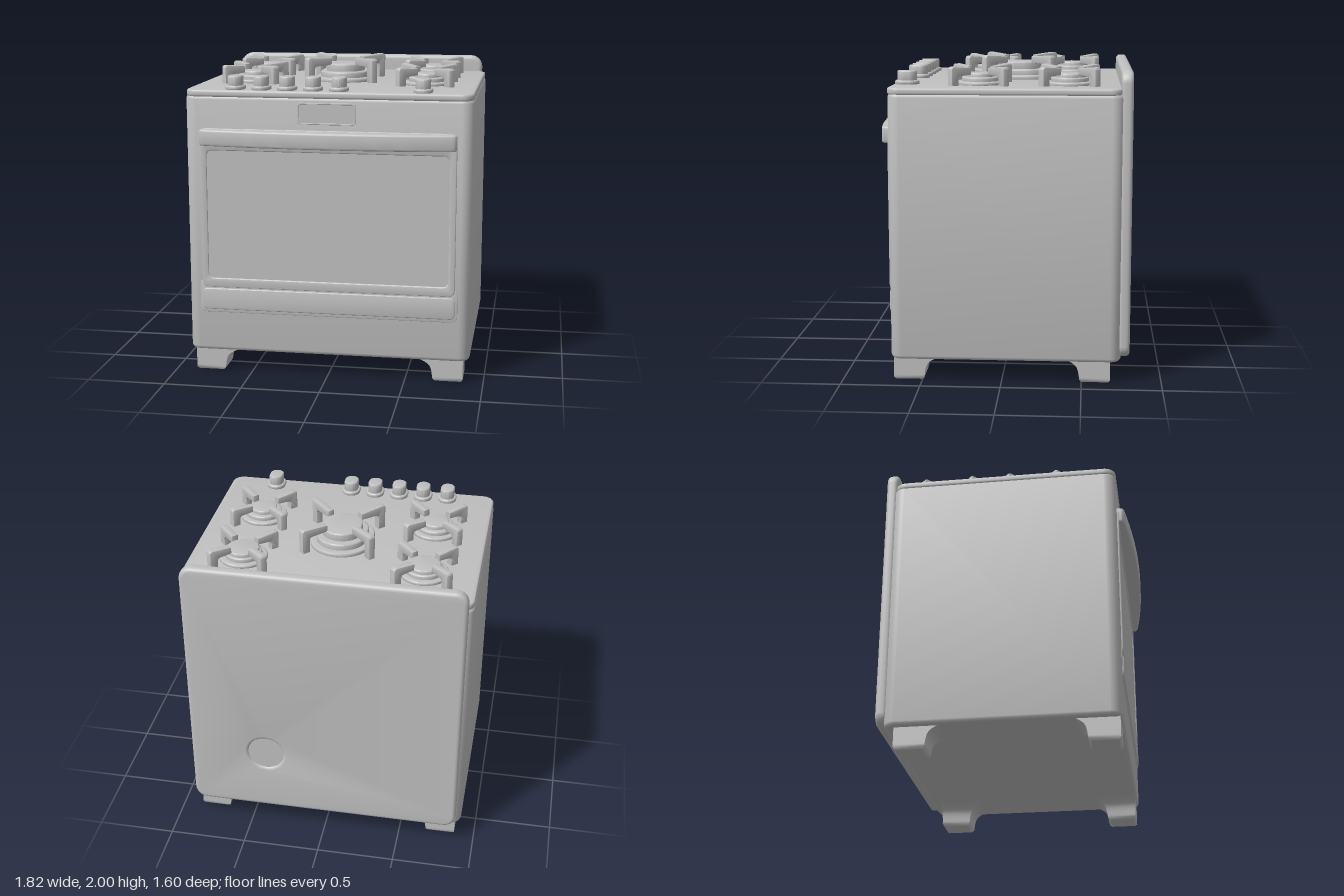
import * as THREE from 'three';
import { toCreasedNormals } from 'three/addons/utils/BufferGeometryUtils.js';

const enamel = new THREE.MeshStandardMaterial({ color: 0xc0c0c0 });
enamel.name = 'grey enamel';

// Rounded rectangle between two corners
function roundRect(x0, y0, x1, y1, r, Type = THREE.Shape) {
  const s = new Type();
  s.moveTo(x0 + r, y0);
  s.lineTo(x1 - r, y0);
  s.absarc(x1 - r, y0 + r, r, -Math.PI / 2, 0);
  s.lineTo(x1, y1 - r);
  s.absarc(x1 - r, y1 - r, r, 0, Math.PI / 2);
  s.lineTo(x0 + r, y1);
  s.absarc(x0 + r, y1 - r, r, Math.PI / 2, Math.PI);
  s.lineTo(x0, y0 + r);
  s.absarc(x0 + r, y0 + r, r, Math.PI, Math.PI * 1.5);
  return s;
}

// Outline extruded along z from z0 to z1 with rounded edges
function slab(shape, z0, z1, bevel, segments = 3) {
  const g = new THREE.ExtrudeGeometry(shape, {
    depth: z1 - z0 - 2 * bevel, bevelEnabled: bevel > 0, bevelThickness: bevel,
    bevelSize: bevel, bevelOffset: -bevel, bevelSegments: segments, curveSegments: 10,
  });
  g.translate(0, 0, z0 + bevel);
  return toCreasedNormals(g, 0.7);
}

// Plan outline (x, -z) extruded upward from y0 to y1
const tower = (shape, y0, y1, bevel, segments) =>
  slab(shape, y0, y1, bevel, segments).rotateX(-Math.PI / 2);

// Oval or round disc centred on the origin
const disc = (hx, hz, y0, y1, bevel) =>
  tower(roundRect(-hx, -hz, hx, hz, Math.min(hx, hz) * 0.999), y0, y1, bevel);

function add(parent, name, geometry, x = 0, y = 0, z = 0) {
  const m = new THREE.Mesh(geometry, enamel);
  m.name = name;
  m.position.set(x, y, z);
  parent.add(m);
  return m;
}

// Foot that flares inward where it meets the body
function footGeometry() {
  const g = new THREE.BoxGeometry(1, 1, 1, 1, 10, 1);
  const p = g.attributes.position;
  for (let i = 0; i < p.count; i++) {
    const t = p.getY(i) + 0.5;
    const flare = 0.02 * t + 0.09 * Math.pow(t, 6);
    const tuck = t < 0.05 ? 0.012 : 0;
    p.setXYZ(i,
      p.getX(i) > 0 ? 0.87 - tuck : 0.68 - flare + tuck,
      t * 0.15,
      p.getZ(i) > 0 ? 0.68 - tuck : 0.49 - flare + tuck);
  }
  return toCreasedNormals(g, 0.7);
}

// One bracket of a pan support: outer leg and a bar reaching inward
function armGeometry(inner, outer, top) {
  const s = new THREE.Shape();
  s.moveTo(outer - 0.055, 0);
  s.lineTo(outer, 0);
  s.lineTo(outer, top - 0.02);
  s.quadraticCurveTo(outer, top, outer - 0.025, top);
  s.lineTo(inner, top - 0.012);
  s.lineTo(inner, top - 0.055);
  s.lineTo(outer - 0.075, top - 0.06);
  s.quadraticCurveTo(outer - 0.055, top - 0.06, outer - 0.055, top - 0.08);
  return slab(s, -0.024, 0.024, 0.008, 2);
}

function addBurner(parent, name, x, z, tiers, inner, outer, top) {
  const b = new THREE.Group();
  b.name = name;
  b.position.set(x, 1.835, z);
  parent.add(b);
  tiers.forEach(([hx, hz, y0, y1], i) =>
    add(b, ['burnerBase', 'burnerRing', 'burnerCap'][i], disc(hx, hz, y0, y1, 0.009)));
  const arm = armGeometry(inner, outer, top);
  for (let i = 0; i < 4; i++)
    add(b, 'panSupport', arm).rotation.y = Math.PI / 4 + i * Math.PI / 2;
}

export function createModel() {
  const stove = new THREE.Group();
  stove.name = 'stove';

  // Cabinet, hob plate and back panel
  add(stove, 'cabinet', tower(roundRect(-0.91, -0.697, 0.91, 0.745, 0.07), 0.14, 1.808, 0.025));
  add(stove, 'hobPlate', tower(roundRect(-0.907, -0.7, 0.907, 0.74, 0.075), 1.797, 1.842, 0.014));
  const back = roundRect(-0.88, 0.16, 0.88, 1.95, 0.08);
  const port = new THREE.Path();
  port.absarc(0.38, 0.6, 0.115, 0, Math.PI * 2, true);
  back.holes.push(port);
  add(stove, 'backPanel', slab(back, -0.8, -0.725, 0.025, 4));
  const cover = new THREE.CylinderGeometry(0.14, 0.14, 0.03, 32).rotateX(Math.PI / 2);
  add(stove, 'backPortCover', cover, 0.38, 0.6, -0.773);

  // Feet, mirrored by turning and swapping the flare
  const foot = footGeometry();
  for (const sx of [1, -1]) for (const sz of [1, -1]) {
    const g = foot.clone().scale(sx, 1, sz);
    if (sx * sz < 0) {
      // Restore the corner order after mirroring
      for (const a of Object.values(g.attributes)) {
        for (let i = 0; i < a.count; i += 3) {
          for (let k = 0; k < a.itemSize; k++) {
            const v = a.getComponent(i, k);
            a.setComponent(i, k, a.getComponent(i + 1, k));
            a.setComponent(i + 1, k, v);
          }
        }
      }
    }
    add(stove, 'foot', g);
  }

  // Oven door with recessed window
  const door = new THREE.Group();
  door.name = 'ovenDoor';
  stove.add(door);
  const frame = roundRect(-0.812, 0.568, 0.812, 1.6, 0.04);
  frame.holes.push(roundRect(-0.77, 0.63, 0.77, 1.46, 0.035, THREE.Path));
  add(door, 'doorFrame', slab(frame, 0.685, 0.709, 0.006));
  add(door, 'doorWindow', slab(roundRect(-0.79, 0.61, 0.79, 1.48, 0.03), 0.69, 0.702, 0));

  // Bowed handle
  const bow = new THREE.Shape();
  bow.moveTo(-0.81, -0.69);
  bow.lineTo(-0.81, -0.725);
  bow.quadraticCurveTo(-0.81, -0.74, -0.78, -0.746);
  bow.quadraticCurveTo(-0.4, -0.8, 0, -0.8);
  bow.quadraticCurveTo(0.4, -0.8, 0.78, -0.746);
  bow.quadraticCurveTo(0.81, -0.74, 0.81, -0.725);
  bow.lineTo(0.81, -0.69);
  add(door, 'handle', tower(bow, 1.493, 1.597, 0.014));

  // Lower drawer
  add(stove, 'drawerSurround', slab(roundRect(-0.83, 0.4, 0.83, 0.62, 0.04), 0.685, 0.702, 0.004));
  add(stove, 'drawerFront', slab(roundRect(-0.812, 0.42, 0.812, 0.56, 0.03), 0.685, 0.709, 0.006));

  // Display with a slim raised rim
  const rim = roundRect(-0.185, 1.637, 0.182, 1.773, 0.02);
  rim.holes.push(roundRect(-0.175, 1.647, 0.172, 1.763, 0.015, THREE.Path));
  add(stove, 'displayRim', slab(rim, 0.69, 0.704, 0.002, 1));
  add(stove, 'displayPanel', slab(roundRect(-0.18, 1.642, 0.177, 1.768, 0.015), 0.69, 0.6995, 0));

  // Four round burners and the large oval one
  for (const x of [-0.57, 0.57]) {
    for (const [z, cap] of [[-0.41, 0.102], [0.15, 0.086]]) {
      addBurner(stove, 'burner', x, z,
        [[0.152, 0.152, 0, 0.028], [0.118, 0.118, 0.01, 0.055], [cap, cap, 0.03, 0.08]],
        0.095, 0.248, 0.125);
    }
  }
  addBurner(stove, 'centreBurner', 0, -0.07,
    [[0.197, 0.245, 0, 0.032], [0.16, 0.2, 0.01, 0.07], [0.125, 0.15, 0.05, 0.118]],
    0.13, 0.32, 0.165);

  // Control knobs
  const skirt = disc(0.06, 0.077, 0, 0.03, 0.01);
  const grip = disc(0.046, 0.062, 0.02, 0.09, 0.008);
  for (const x of [-0.595, -0.43, -0.265, -0.1, 0.065, 0.59]) {
    const knob = new THREE.Group();
    knob.name = 'knob';
    knob.position.set(x, 1.837, 0.61);
    add(knob, 'knobSkirt', skirt);
    add(knob, 'knobGrip', grip);
    stove.add(knob);
  }

  return stove;
}
